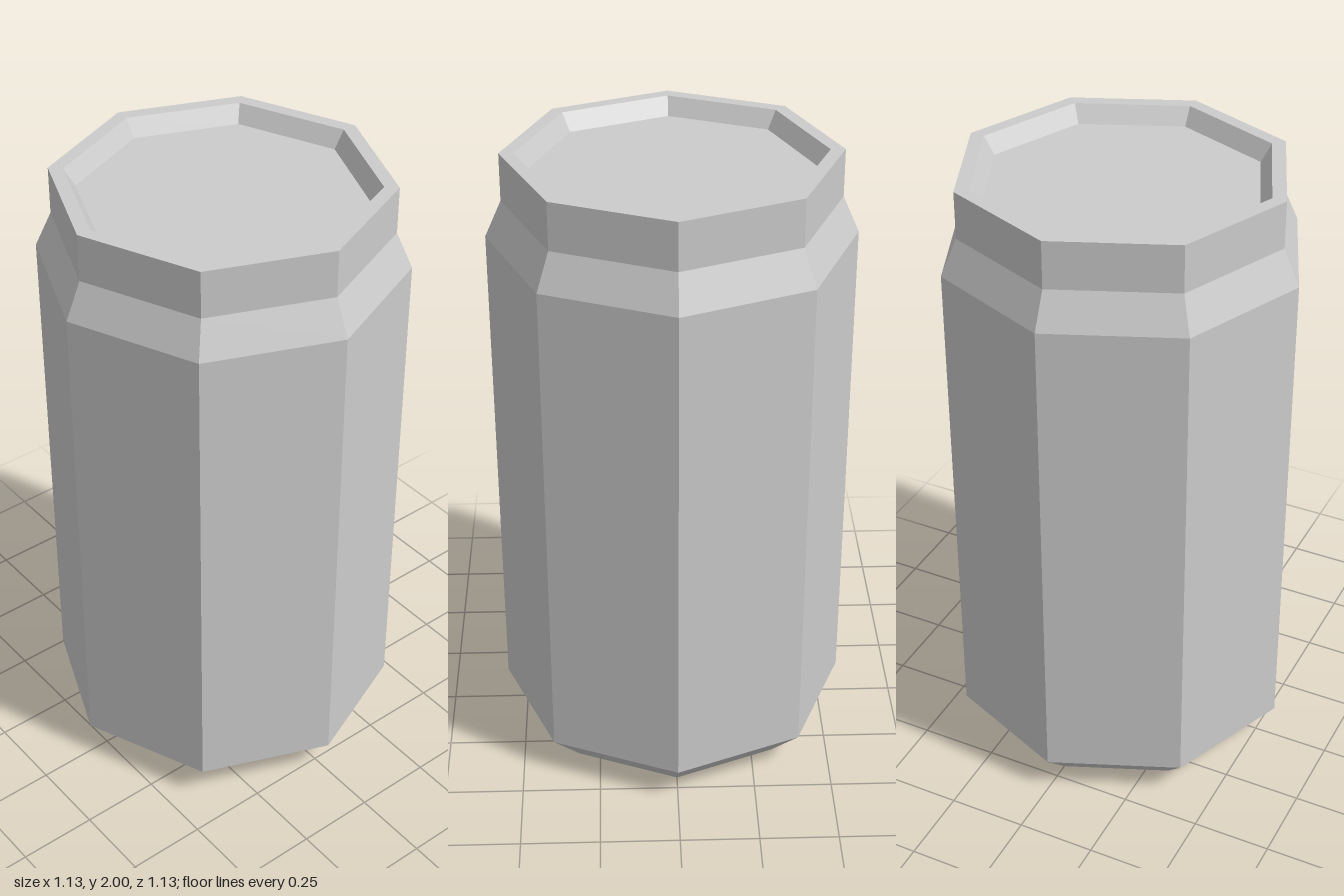
import * as THREE from 'three';

const SIDES = 8;

export function createModel() {
  const group = new THREE.Group();
  group.name = 'can';
  const material = new THREE.MeshStandardMaterial({ color: 0xcccccc, flatShading: true });

  // Each part is an eight-sided turned profile of [radius, height] points
  const addTurned = (name, profile) => {
    const points = profile.map(([r, y]) => new THREE.Vector2(r, y));
    const mesh = new THREE.Mesh(new THREE.LatheGeometry(points, SIDES), material);
    mesh.name = name;
    group.add(mesh);
  };

  // Flat base with its chamfered foot
  addTurned('base', [[0, 0], [0.45, 0], [0.563, 0.115]]);
  // Straight wall
  addTurned('body', [[0.563, 0.115], [0.563, 1.735]]);
  // Tapered shoulder and upright neck
  addTurned('neck', [[0.563, 1.735], [0.512, 1.85], [0.512, 2]]);
  // Rim, sloping inner wall and recessed lid
  addTurned('lid', [[0.512, 2], [0.467, 2], [0.433, 1.945], [0, 1.945]]);

  return group;
}
